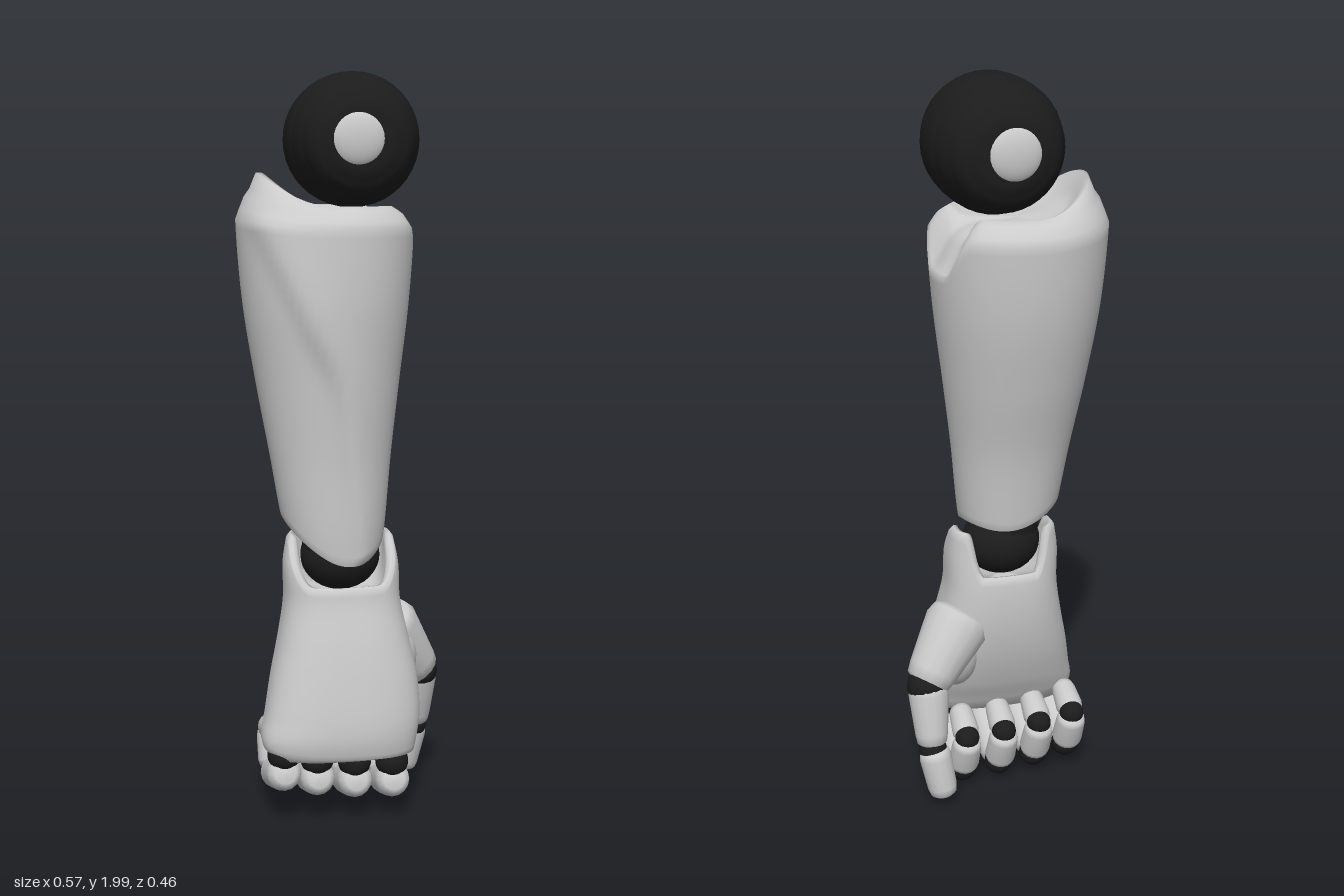
import * as THREE from 'three';

const shell = new THREE.MeshStandardMaterial({ color: 0xcccccc, side: THREE.DoubleSide });
const dark = new THREE.MeshStandardMaterial({ color: 0x1c1c1c });
const { smoothstep: smooth, clamp } = THREE.MathUtils;
const V = (x, y, z) => new THREE.Vector3(x, y, z);

function add(parent, name, geometry, material) {
  const mesh = new THREE.Mesh(geometry, material);
  mesh.name = name;
  parent.add(mesh);
  return mesh;
}

// Smooth lookup in rows sorted by their first entry
function lookup(rows, y) {
  let i = 0;
  while (i < rows.length - 2 && y > rows[i + 1][0]) i++;
  const a = rows[i], b = rows[i + 1];
  const p = rows[Math.max(i - 1, 0)], q = rows[Math.min(i + 2, rows.length - 1)];
  const d = b[0] - a[0], t = clamp((y - a[0]) / d, 0, 1);
  return a.map((v, k) => {
    const m0 = (b[k] - p[k]) / (b[0] - p[0]) * d, m1 = (q[k] - v) / (q[0] - a[0]) * d;
    const e = b[k] - v;
    return v + t * (m0 + t * (3 * e - 2 * m0 - m1 + t * (m0 + m1 - 2 * e)));
  });
}

// Upright skin through rows [y, xMin, xMax, zMin, zMax].
// bottom(c, s) and top(c, s) shape the rims; before/after are extra rings [scale, y(c, s)].
function skin({ rows, power, bottom, top, before, after, bump = () => 0, steps = 36, n = 72 }) {
  const pos = [], idx = [];
  const rings = before.concat(
    Array.from({ length: steps + 1 }, (_, i) => {
      const t = i / steps;
      return [1, (c, s) => bottom(c, s) * (1 - t) + top(c, s) * t];
    }), after);
  for (const [scale, height] of rings) {
    for (let j = 0; j < n; j++) {
      const a = (j / n) * Math.PI * 2;
      const c = Math.sign(Math.cos(a)) * Math.abs(Math.cos(a)) ** (2 / power);
      const s = Math.sign(Math.sin(a)) * Math.abs(Math.sin(a)) ** (2 / power);
      const y = height(c, s);
      const [, x0, x1, z0, z1] = lookup(rows, y);
      const x = (x0 + x1) / 2 + c * scale * (x1 - x0) / 2;
      const z = (z0 + z1) / 2 + s * scale * (z1 - z0) / 2;
      pos.push(x, y, z + (scale === 1 ? bump(x, y, s) : 0));
    }
  }
  for (let i = 0; i < rings.length - 1; i++) {
    for (let j = 0; j < n; j++) {
      const a = i * n + j, b = i * n + (j + 1) % n;
      idx.push(a, a + n, b, b, a + n, b + n);
    }
  }
  const g = new THREE.BufferGeometry();
  g.setAttribute('position', new THREE.Float32BufferAttribute(pos, 3));
  g.setIndex(idx);
  g.computeVertexNormals();
  return g;
}

// Tapered segment with rounded ends from a to b
function segment(parent, name, a, b, ra, rb, material = shell) {
  const dir = b.clone().sub(a), L = dir.length();
  const profile = [[0, 0], [ra * 0.6, 0.01 * L], [ra * 0.9, 0.07 * L], [ra, 0.2 * L],
    [rb, 0.8 * L], [rb * 0.9, 0.93 * L], [rb * 0.6, 0.99 * L], [0, L]];
  const g = new THREE.LatheGeometry(profile.map(p => new THREE.Vector2(...p)), 16);
  const m = add(parent, name, g, material);
  m.position.copy(a);
  m.quaternion.setFromUnitVectors(V(0, 1, 0), dir.normalize());
}

// Stretched sphere
function ball(parent, name, p, rx, ry, rz, material) {
  const m = add(parent, name, new THREE.SphereGeometry(1, 28, 18), material);
  m.position.copy(p);
  m.scale.set(rx, ry, rz);
}
const joint = (parent, name, p, r) => ball(parent, name, p, r, r, r, dark);

function buildElbow() {
  const g = new THREE.Group();
  g.name = 'elbow';
  g.position.set(0.025, 1.825, -0.008);
  // Stepped round joint lying along z
  const half = [[0, 0.193], [0.075, 0.193], [0.1, 0.183], [0.116, 0.172], [0.13, 0.168], [0.145, 0.142],
    [0.149, 0.122], [0.158, 0.117], [0.166, 0.075], [0.167, 0.062], [0.173, 0.056], [0.175, 0.02]];
  const profile = half.map(([r, z]) => new THREE.Vector2(r, -z))
    .concat(half.slice().reverse().map(([r, z]) => new THREE.Vector2(r, z)));
  add(g, 'elbowJoint', new THREE.LatheGeometry(profile, 40), dark).rotation.x = Math.PI / 2;
  for (const side of [1, -1]) ball(g, 'elbowCap', V(-0.01, 0, side * 0.181), 0.072, 0.072, 0.028, shell);
  return g;
}

function buildForearm() {
  const g = new THREE.Group();
  g.name = 'forearm';
  // Notch on the inner side, raised collar on the outer side
  const notch = (c, s) => c > 0 ? 1 - smooth(Math.abs(s + 0.14), 0.25, 0.6) : 0;
  const raise = c => Math.max(0, -c) ** 2;
  const lip = (dy, lift, cut) => (c, s) => 1.6 + dy + lift * raise(c) - cut * notch(c, s);
  const bottom = (c, s) => 0.755 - 0.035 * s - 0.025 * c + 0.06 * c * c;
  const ridge = [[0.75, 0.03], [1.0, 0.0], [1.2, -0.03], [1.35, -0.11], [1.62, -0.24]];
  add(g, 'forearmShell', skin({
    rows: [[0.72, -0.14, 0.09, -0.075, 0.175], [0.8, -0.165, 0.105, -0.085, 0.18],
      [1.0, -0.2, 0.125, -0.115, 0.187], [1.2, -0.235, 0.15, -0.165, 0.203],
      [1.4, -0.265, 0.175, -0.207, 0.222], [1.6, -0.28, 0.19, -0.225, 0.222],
      [1.75, -0.28, 0.19, -0.225, 0.215]],
    power: 2.1,
    bottom,
    top: lip(0, 0.02, 0.1),
    before: [[0, () => 0.86], [0.85, (c, s) => bottom(c, s) + 0.03], [0.96, bottom]],
    after: [[0.96, lip(0.015, 0.03, 0.11)], [0.9, lip(0.035, 0.045, 0.11)], [0.84, lip(0.045, 0.055, 0.1)],
      [0.77, lip(0.055, 0.085, 0.08)], [0.71, lip(0.05, 0.09, 0.06)], [0.64, lip(0.035, 0.06, 0.03)],
      [0.5, lip(0.03, 0.03, 0.01)], [0, () => 1.63]],
    // Diagonal crease running down the front, steep on its outer side
    bump: (x, y, s) => {
      const d = x - lookup(ridge, y)[1];
      return s > 0 ? 0.016 * smooth(s, 0, 0.5) * Math.exp(-((d / (d > 0 ? 0.09 : 0.025)) ** 2)) : 0;
    },
  }), shell);
  return g;
}

function buildHand() {
  const g = new THREE.Group();
  g.name = 'hand';
  // Wrist ball and its neck into the forearm
  ball(g, 'wristBall', V(-0.01, 0.72, 0.03), 0.108, 0.095, 0.1, dark);
  segment(g, 'wristNeck', V(-0.02, 0.72, 0.035), V(-0.02, 0.88, 0.04), 0.095, 0.09, dark);

  // Palm shell with a cuff that rises at both sides of the wrist
  const horn = dy => (c, s) => 0.64 + dy + 0.125 * smooth(Math.abs(c), 0.5, 0.85) * (1 - smooth(s, 0.25, 0.95));
  add(g, 'palm', skin({
    rows: [[0.18, -0.22, 0.175, 0.03, 0.205], [0.24, -0.237, 0.188, 0.0, 0.217],
      [0.3, -0.225, 0.197, -0.03, 0.215], [0.4, -0.205, 0.192, -0.065, 0.2],
      [0.5, -0.182, 0.172, -0.085, 0.18], [0.6, -0.165, 0.152, -0.09, 0.155],
      [0.7, -0.165, 0.148, -0.08, 0.135], [0.78, -0.15, 0.135, -0.07, 0.08]],
    power: 2.6,
    bottom: (c, s) => 0.21 - 0.01 * c - 0.012 * s,
    top: horn(0),
    before: [[0, () => 0.185], [0.8, () => 0.185], [0.95, () => 0.192]],
    after: [[0.95, horn(0.012)], [0.87, horn(0.01)], [0.8, horn(-0.02)], [0.7, () => 0.62], [0, () => 0.62]],
  }), shell);

  // Four curled fingers: x at knuckle, x at bend, height offset
  const fingers = [[-0.18, -0.185, 0.035], [-0.09, -0.088, 0.017], [0.012, 0.015, 0.005], [0.115, 0.122, 0]];
  fingers.forEach(([xa, xb, dy]) => {
    const f = new THREE.Group();
    f.name = 'finger';
    const P = (x, y, z) => V(x, y + dy, z);
    joint(f, 'knuckle', P(xa, 0.165, 0.14), 0.045);
    segment(f, 'fingerBase', P(xa, 0.125, 0.178), P(xb, 0.055, -0.025), 0.048, 0.046);
    joint(f, 'fingerJoint', P(xb, 0.05, -0.035), 0.039);
    segment(f, 'fingerMiddle', P(xb, 0.06, -0.045), P(xb - 0.005, 0.165, -0.085), 0.043, 0.041);
    joint(f, 'fingerJoint', P(xb - 0.005, 0.168, -0.078), 0.034);
    segment(f, 'fingerTip', P(xb - 0.005, 0.17, -0.075), P(xb - 0.01, 0.2, 0.03), 0.038, 0.034);
    g.add(f);
  });

  // Thumb with the pad that carries it
  const t = new THREE.Group();
  t.name = 'thumb';
  ball(t, 'thumbPad', V(0.135, 0.43, 0.0), 0.075, 0.125, 0.085, shell);
  segment(t, 'thumbBase', V(0.105, 0.53, -0.005), V(0.235, 0.345, -0.072), 0.092, 0.07);
  joint(t, 'thumbJoint', V(0.23, 0.35, -0.077), 0.056);
  segment(t, 'thumbMiddle', V(0.228, 0.365, -0.076), V(0.227, 0.18, -0.118), 0.057, 0.046);
  joint(t, 'thumbJoint', V(0.226, 0.172, -0.12), 0.039);
  segment(t, 'thumbTip', V(0.226, 0.18, -0.125), V(0.2, 0.035, -0.143), 0.045, 0.041);
  g.add(t);
  return g;
}

export function createModel() {
  const model = new THREE.Group();
  model.name = 'mechanicalForearm';
  model.add(buildElbow(), buildForearm(), buildHand());
  return model;
}
